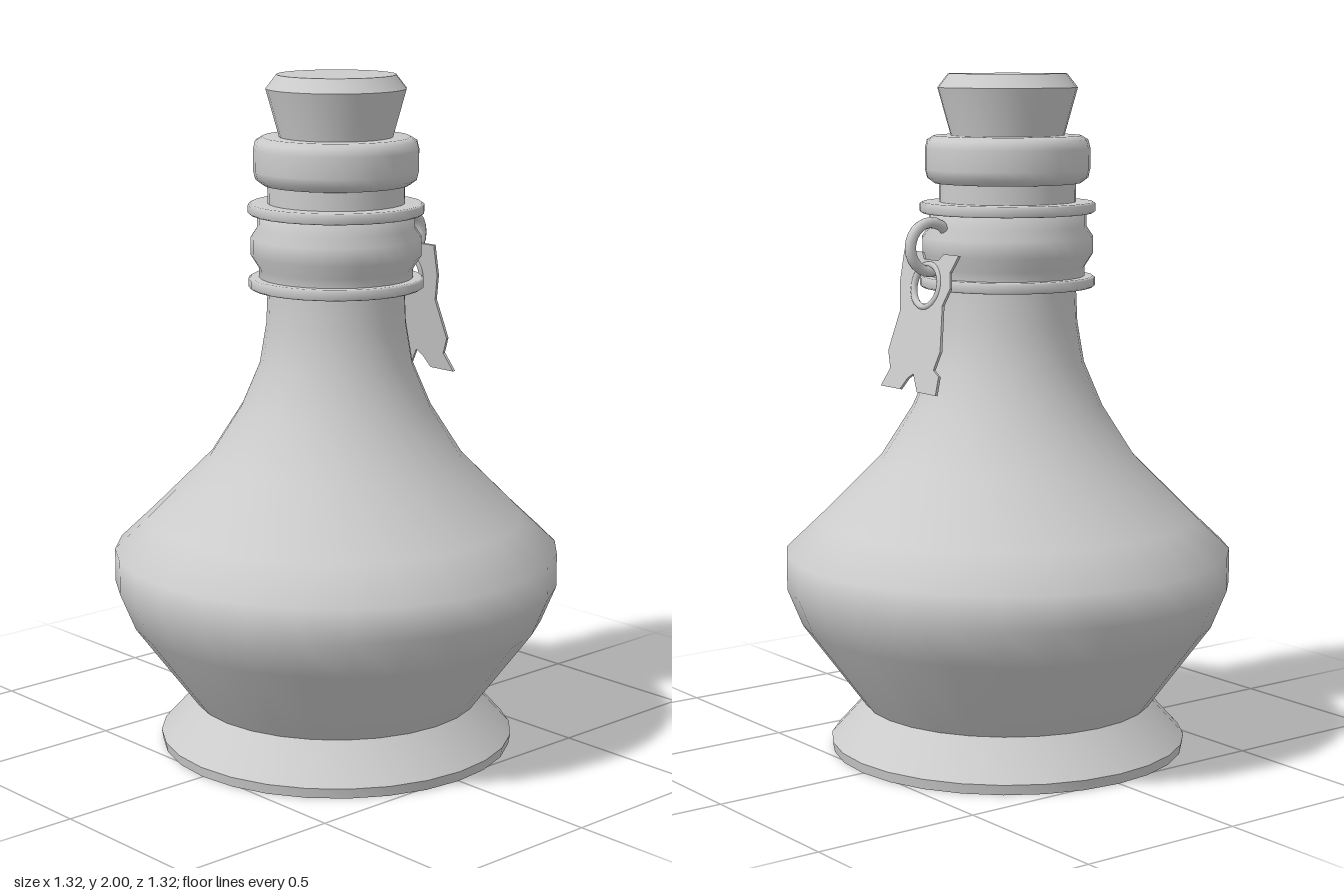
import * as THREE from 'three';
import { toCreasedNormals } from 'three/addons/utils/BufferGeometryUtils.js';

const SIDES = 28;

export function createModel() {
  const model = new THREE.Group();
  const material = new THREE.MeshStandardMaterial({ color: 0xcccccc });

  function add(name, geometry, parent = model) {
    const mesh = new THREE.Mesh(geometry, material);
    mesh.name = name;
    parent.add(mesh);
    return mesh;
  }

  // Turned part from [radius, height] pairs; crease keeps edges sharper than that angle
  function turned(name, profile, crease) {
    const points = profile.map(([r, y]) => new THREE.Vector2(r, y));
    const geometry = new THREE.LatheGeometry(points, SIDES);
    return add(name, crease ? toCreasedNormals(geometry, crease) : geometry);
  }

  // Flared foot with a hollow underside
  turned('foot', [
    [0, 0.1], [0.28, 0.1], [0.43, 0.01], [0.46, 0], [0.525, 0], [0.53, 0.03], [0.43, 0.14], [0.4, 0.14],
  ], 0.75);

  // Bulbous body sweeping up into the neck
  turned('body', [
    [0.43, 0.14], [0.615, 0.39], [0.66, 0.5], [0.66, 0.6], [0.555, 0.7], [0.375, 0.88],
    [0.28, 1.03], [0.225, 1.16], [0.205, 1.28], [0.2, 1.4], [0.2, 1.7],
  ]);

  // Neck collar with a raised band between two thin rings
  turned('collar', [
    [0.225, 1.4], [0.225, 1.44], [0.25, 1.48], [0.25, 1.53], [0.23, 1.56], [0.23, 1.61], [0.2, 1.61],
  ]);
  for (const [name, y] of [['lowerNeckRing', 1.382], ['upperNeckRing', 1.598]]) {
    turned(name, [
      [0.19, y], [0.25, y], [0.257, y + 0.005], [0.257, y + 0.027], [0.25, y + 0.032], [0.19, y + 0.032],
    ]);
  }

  // Rounded lip around the mouth
  turned('lip', [
    [0.19, 1.685], [0.215, 1.685], [0.235, 1.7], [0.241, 1.725], [0.241, 1.785],
    [0.235, 1.81], [0.215, 1.822], [0.15, 1.822],
  ]);

  // Tapered stopper with a chamfered top
  turned('stopper', [[0.15, 1.75], [0.165, 1.82], [0.204, 1.96], [0.173, 2], [0, 2]], 0.5);

  // Loop fixed to the collar, standing in the x-y plane
  add('hangingLoop', new THREE.TorusGeometry(0.07, 0.016, 10, 24)).position.set(0.277, 1.51, 0);

  // Ragged tag swinging from the loop, with an eyelet round its hole
  const tag = new THREE.Group();
  tag.name = 'tagAssembly';
  const outline = [
    [-0.135, 0.095], [-0.13, 0.0], [-0.105, -0.08], [-0.13, -0.2], [-0.105, -0.25], [-0.137, -0.305],
    [-0.04, -0.305], [-0.012, -0.27], [0.012, -0.255], [0.045, -0.305], [0.135, -0.305], [0.135, -0.25],
    [0.105, -0.235], [0.122, -0.18], [0.095, -0.05], [0.118, 0.0], [0.105, 0.045], [0.132, 0.095],
    [0.06, 0.095], [0.04, 0.075], [-0.03, 0.075], [-0.045, 0.095],
  ];
  const shape = new THREE.Shape(outline.map(([u, v]) => new THREE.Vector2(u, v)));
  shape.holes.push(new THREE.Path().absarc(0, 0, 0.055, 0, Math.PI * 2, true));
  const plate = new THREE.ExtrudeGeometry(shape, { depth: 0.008, bevelEnabled: false, curveSegments: 20 });
  plate.translate(0, 0, -0.004).rotateY(Math.PI / 2);
  add('tag', plate, tag);
  add('eyelet', new THREE.TorusGeometry(0.062, 0.01, 8, 24).rotateY(Math.PI / 2), tag);
  tag.position.set(0.29, 1.4, 0);
  tag.rotation.z = 0.215;
  model.add(tag);

  return model;
}
